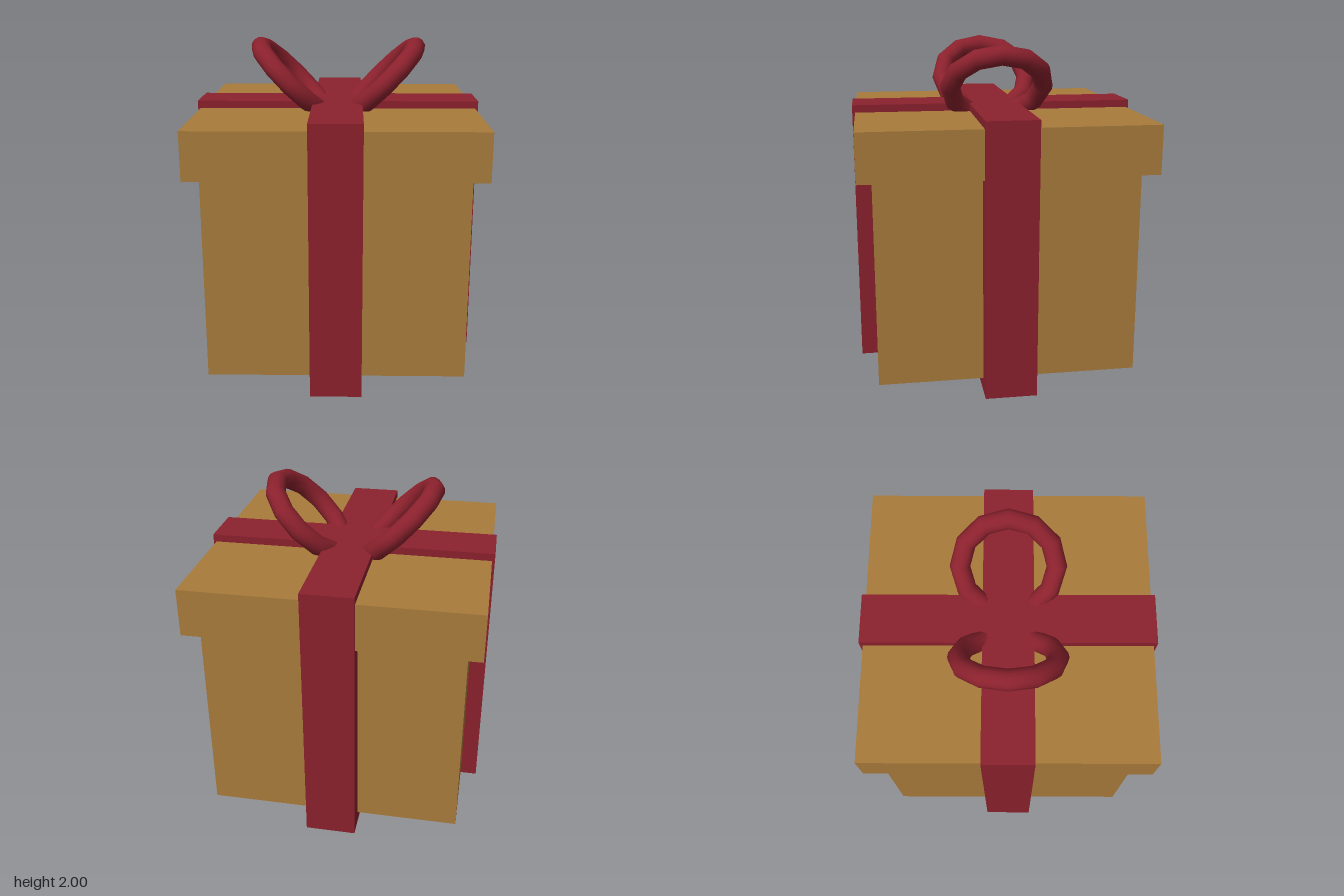
import * as THREE from 'three';

export function createModel() {
  const model = new THREE.Group();
  model.name = 'giftBox';

  const paper = new THREE.MeshStandardMaterial({ color: 0xa87b3b });
  paper.name = 'golden paper';
  const ribbon = new THREE.MeshStandardMaterial({ color: 0x8b212d });
  ribbon.name = 'red ribbon';

  const add = (name, geometry, material) => {
    const mesh = new THREE.Mesh(geometry, material);
    mesh.name = name;
    model.add(mesh);
    return mesh;
  };

  // Upright block spanning y0 to y1
  const block = (name, width, depth, y0, y1, material) => {
    const mesh = add(name, new THREE.BoxGeometry(width, y1 - y0, depth), material);
    mesh.position.y = (y0 + y1) / 2;
  };

  // Box and overhanging lid
  block('boxBody', 1.522, 1.522, 0.083, 1.297, paper);
  block('lid', 1.69, 1.69, 1.297, 1.58, paper);

  // Two crossing ribbon bands wrapped around the box
  block('ribbonAcross', 1.724, 0.302, 0, 1.625, ribbon);
  block('ribbonFrontToBack', 0.302, 1.724, 0, 1.625, ribbon);

  // Bow loops leaning outwards at 45 degrees, sunk into the knot
  for (const side of [1, -1]) {
    const loop = new THREE.TorusGeometry(0.281, 0.06, 12, 12);
    loop.rotateY(Math.PI / 2);
    loop.rotateZ(-side * Math.PI / 4);
    const mesh = add(side > 0 ? 'leftBowLoop' : 'rightBowLoop', loop, ribbon);
    mesh.position.set(side * 0.281, 1.741, 0);
  }

  return model;
}
